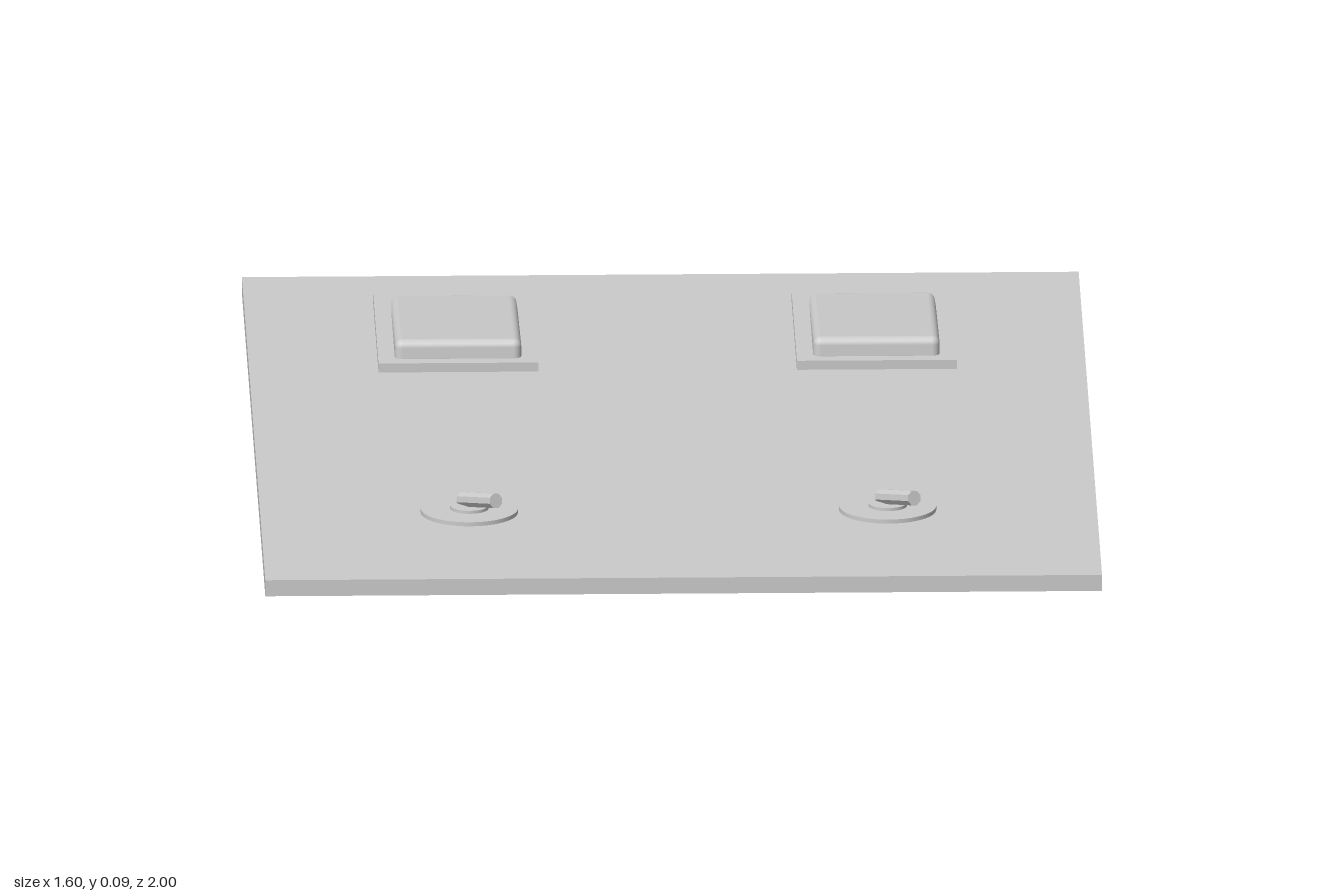
import * as THREE from 'three';
import { RoundedBoxGeometry } from 'three/addons/geometries/RoundedBoxGeometry.js';

const grey = new THREE.MeshStandardMaterial({ color: 0xcccccc });
const flatGrey = new THREE.MeshStandardMaterial({ color: 0xcccccc, flatShading: true });

const PLATE_TOP = 0.032;

function addMesh(parent, name, geometry, x, y, z, material = grey) {
  const mesh = new THREE.Mesh(geometry, material);
  mesh.name = name;
  mesh.position.set(x, y, z);
  parent.add(mesh);
  return mesh;
}

// Rocker switch: shallow frame with a tilted, softly rounded paddle
function createRocker() {
  const group = new THREE.Group();
  addMesh(group, 'rockerFrame', new THREE.BoxGeometry(0.306, 0.018, 0.462), 0, 0.009, 0);
  const paddle = addMesh(group, 'rockerPaddle', new RoundedBoxGeometry(0.242, 0.05, 0.405, 4, 0.015), 0, 0.014, 0);
  paddle.rotation.x = -0.075;
  return group;
}

// Toggle switch: washer, bushing and a lever leaning to the front left
function createToggle() {
  const group = new THREE.Group();
  addMesh(group, 'toggleWasher', new THREE.CylinderGeometry(0.093, 0.093, 0.008, 48), 0, 0.004, 0);
  addMesh(group, 'toggleBushing', new THREE.CylinderGeometry(0.037, 0.037, 0.014, 32), 0, 0.007, 0);

  const base = new THREE.Vector3(-0.012, 0.02, -0.02);
  const tip = new THREE.Vector3(0.049, 0.046, 0.078);
  const axis = tip.clone().sub(base);
  const lever = addMesh(group, 'toggleLever', new THREE.CylinderGeometry(0.015, 0.015, axis.length(), 8),
    0, 0, 0, flatGrey);
  lever.position.copy(base).add(tip).multiplyScalar(0.5);
  lever.quaternion.setFromUnitVectors(new THREE.Vector3(0, 1, 0), axis.normalize());
  return group;
}

export function createModel() {
  const model = new THREE.Group();
  model.name = 'switchPanel';

  // Base plate
  addMesh(model, 'plate', new THREE.BoxGeometry(1.6, PLATE_TOP, 2), 0, PLATE_TOP / 2, 0);

  // One rocker and one toggle on each side
  for (const [side, x] of [['right', -0.4], ['left', 0.4]]) {
    const rocker = createRocker();
    rocker.name = side + 'Rocker';
    rocker.position.set(x, PLATE_TOP, -0.596);
    const toggle = createToggle();
    toggle.name = side + 'Toggle';
    toggle.position.set(x, PLATE_TOP, 0.56);
    model.add(rocker, toggle);
  }
  return model;
}
